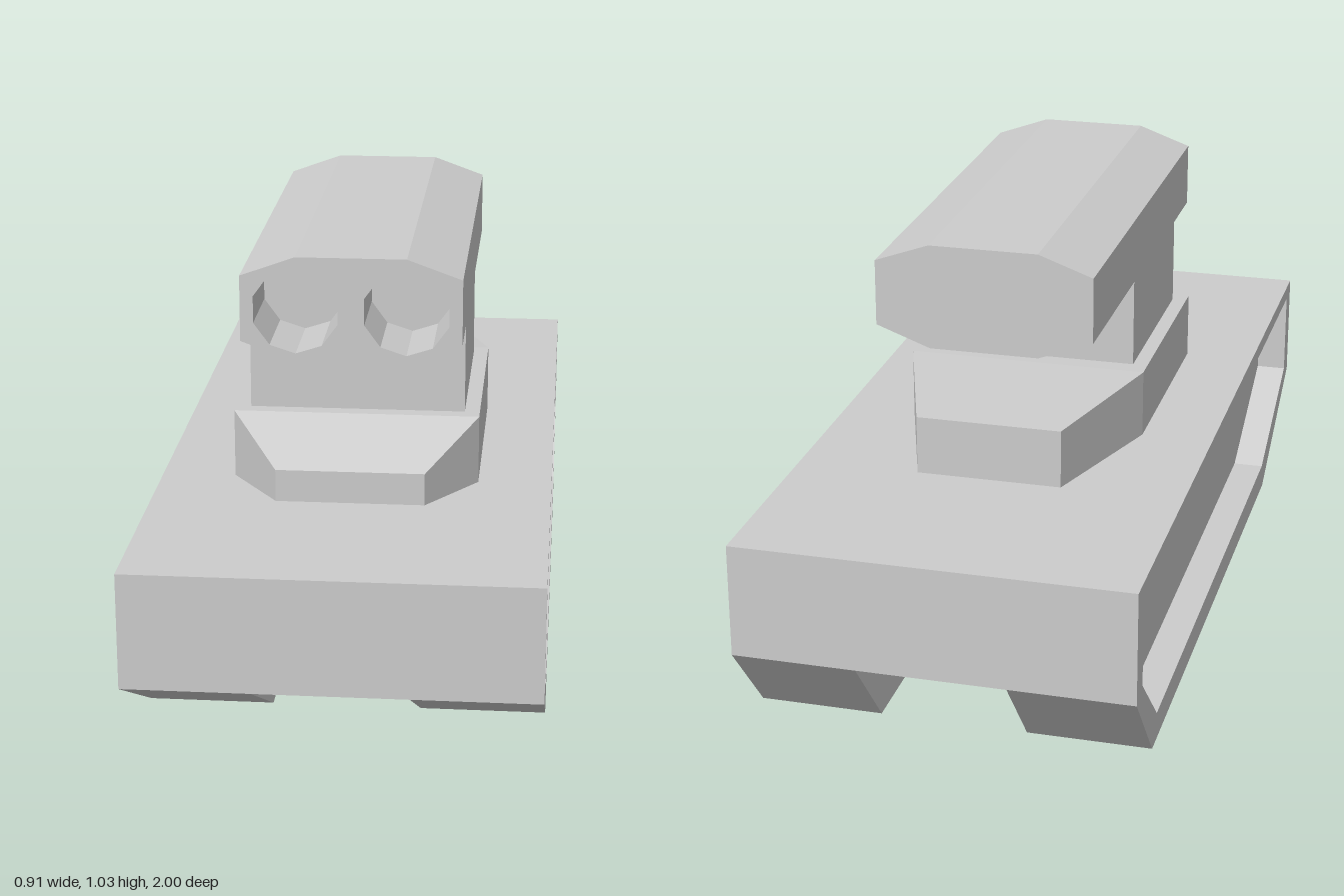
import * as THREE from 'three';

const grey = new THREE.MeshStandardMaterial({ color: 0xcccccc, flatShading: true });
grey.name = 'plain grey';

function shapeOf(points) {
  return new THREE.Shape(points.map(([x, y]) => new THREE.Vector2(x, y)));
}

// Side outline given as [z, y], extruded from x0 to x1
function sideExtrude(outline, x0, x1, hole) {
  const flip = (pts) => pts.map(([z, y]) => [-z, y]);
  const shape = shapeOf(flip(outline));
  if (hole) shape.holes.push(shapeOf(flip(hole)));
  return new THREE.ExtrudeGeometry(shape, { depth: x1 - x0, bevelEnabled: false })
    .rotateY(Math.PI / 2)
    .translate(x0, 0, 0);
}

// Front outline given as [x, y], extruded from z0 to z1
function frontExtrude(outline, z0, z1, holes = []) {
  const shape = shapeOf(outline);
  holes.forEach((h) => shape.holes.push(shapeOf(h)));
  return new THREE.ExtrudeGeometry(shape, { depth: z1 - z0, bevelEnabled: false })
    .translate(0, 0, z0);
}

// Solid from rectangular sections along z: [z, half width, top]
function loftBoxes(sections, bottom) {
  const pos = [];
  const index = [];
  sections.forEach(([z, w, top]) => pos.push(-w, bottom, z, w, bottom, z, w, top, z, -w, top, z));
  const quad = (a, b, c, d) => index.push(a, b, c, a, c, d);
  const last = (sections.length - 1) * 4;
  quad(0, 1, 2, 3);
  quad(last + 3, last + 2, last + 1, last);
  for (let s = 0; s < last; s += 4) {
    for (let i = 0; i < 4; i++) {
      const j = (i + 1) % 4;
      quad(s + j, s + i, s + 4 + i, s + 4 + j);
    }
  }
  const g = new THREE.BufferGeometry();
  g.setAttribute('position', new THREE.Float32BufferAttribute(pos, 3));
  g.setIndex(index);
  const flat = g.toNonIndexed();
  flat.computeVertexNormals();
  return flat;
}

export function createModel() {
  const model = new THREE.Group();
  const add = (name, geometry) => {
    const mesh = new THREE.Mesh(geometry, grey);
    mesh.name = name;
    model.add(mesh);
  };

  // Hull between the tracks
  const half = 0.455, inner = 0.17, recess = 0.38, deck = 0.465;
  const hull = new THREE.BoxGeometry(inner * 2, deck - 0.2, 2);
  add('hull', hull.translate(0, (deck + 0.2) / 2, 0));

  // Track bodies with a recessed panel on the outer side
  const outline = [[1, deck], [1, 0.2], [0.62, 0], [-0.83, 0], [-1, 0.2], [-1, deck]];
  const panel = [[0.945, 0.43], [0.945, 0.22], [0.6, 0.065], [-0.785, 0.065], [-0.945, 0.22], [-0.945, 0.43]];
  add('leftTrack', sideExtrude(outline, inner, recess));
  add('rightTrack', sideExtrude(outline, -recess, -inner));
  add('leftTrackRim', sideExtrude(outline, recess, half, panel));
  add('rightTrackRim', sideExtrude(outline, -half, -recess, panel));

  // Turret base, tapered at both ends
  add('turretBase', loftBoxes([
    [0.535, 0.17, 0.54],
    [0.37, 0.285, 0.625],
    [-0.18, 0.285, 0.625],
    [-0.525, 0.17, 0.603],
  ], deck));

  // Neck, its top following the underside of the launcher
  add('neck', frontExtrude([
    [-0.25, 0.61], [0.25, 0.61], [0.25, 0.833], [0.125, 0.787], [-0.125, 0.787], [-0.25, 0.833],
  ], -0.135, 0.335));

  // Launcher housing with two ten-sided bores in the front
  const housing = [
    [-0.125, 0.787], [0.125, 0.787], [0.25, 0.833], [0.25, 0.985],
    [0.125, 1.03], [-0.125, 1.03], [-0.25, 0.985], [-0.25, 0.833],
  ];
  const bores = [-0.125, 0.125].map((cx) => Array.from({ length: 10 }, (_, i) => {
    const a = (i / 10) * Math.PI * 2;
    return [cx + 0.1 * Math.sin(a), 0.907 + 0.1 * Math.cos(a)];
  }));
  add('launcherRear', frontExtrude(housing, -0.555, 0.3));
  add('launcherFront', frontExtrude(housing, 0.3, 0.5, bores));

  return model;
}
